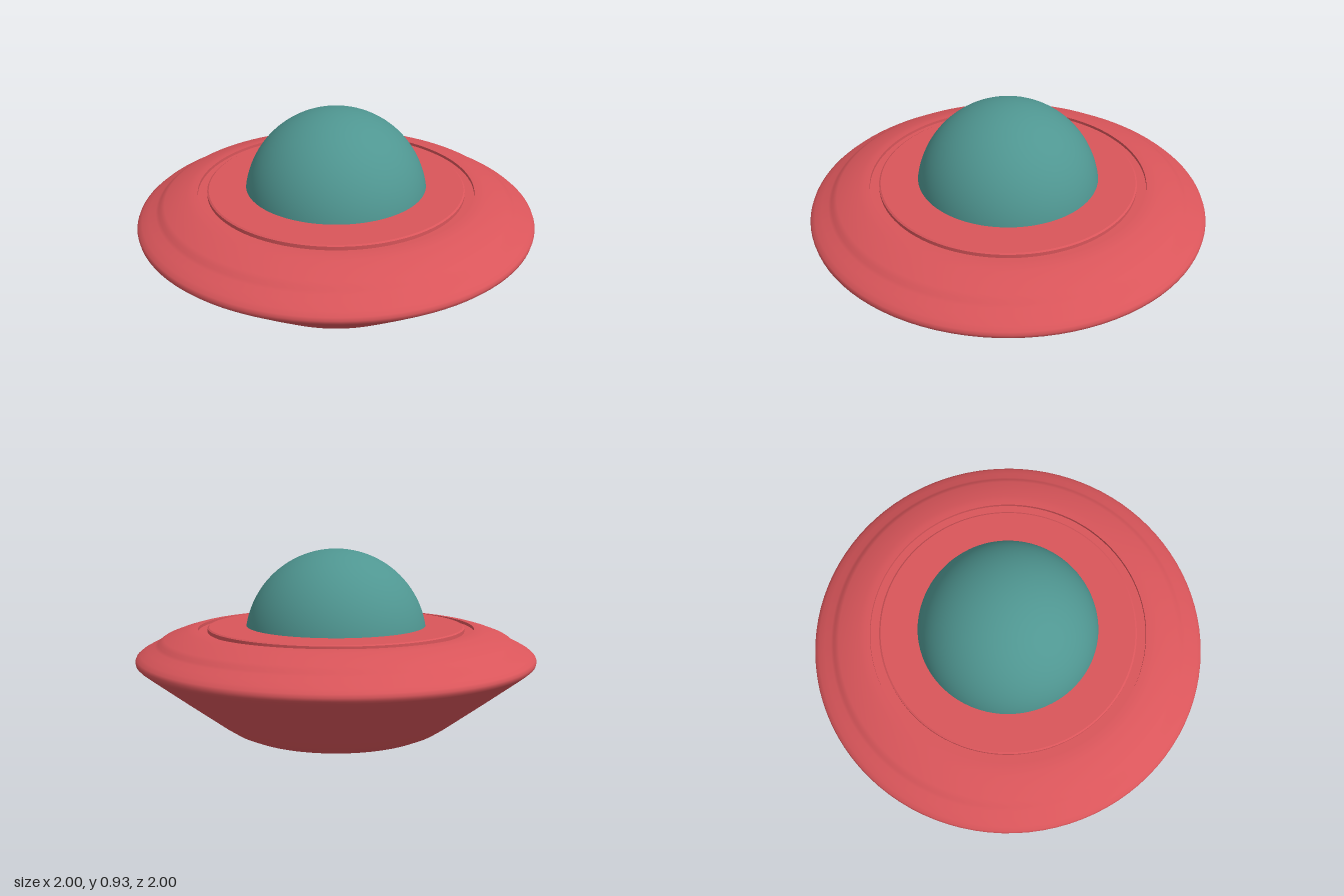
import * as THREE from 'three';

const SEGMENTS = 96;
const RED = 0xd9555a;
const TEAL = 0x4f9691;

const material = (color) => new THREE.MeshStandardMaterial({ color, side: THREE.DoubleSide });

// Revolve a profile of [radius, height] pairs around the y axis
function revolve(name, profile, mat) {
  const points = profile.map(([r, y]) => new THREE.Vector2(r, y));
  const mesh = new THREE.Mesh(new THREE.LatheGeometry(points, SEGMENTS), mat);
  mesh.name = name;
  return mesh;
}

export function createModel() {
  const model = new THREE.Group();
  model.name = 'flyingSaucer';
  const red = material(RED);

  // Hull: smooth strips that meet at sharp edges
  const hull = new THREE.Group();
  hull.name = 'hull';
  hull.add(
    revolve('hatchRim', [[0.315, 0.03], [0.315, 0.003]], red),
    revolve('underside', [
      [0.315, 0.003], [0.4, 0.005], [0.45, 0.012], [0.5, 0.023], [0.55, 0.046],
      [0.6, 0.08], [0.65, 0.118], [0.8, 0.232], [0.95, 0.348], [0.985, 0.376],
      [0.997, 0.388], [1, 0.403], [0.994, 0.417], [0.975, 0.433], [0.94, 0.452],
      [0.905, 0.468], [0.89, 0.477], [0.88, 0.489], [0.86, 0.501], [0.8, 0.523],
      [0.75, 0.537], [0.72, 0.542], [0.695, 0.543],
    ], red),
    // Shallow ring groove around the deck
    revolve('grooveOuterWall', [[0.695, 0.543], [0.695, 0.528]], red),
    revolve('grooveFloor', [[0.695, 0.528], [0.648, 0.528]], red),
    revolve('grooveInnerWall', [[0.648, 0.528], [0.648, 0.546]], red),
    revolve('deckBevel', [[0.648, 0.546], [0.64, 0.551]], red),
    revolve('deck', [[0.64, 0.551], [0, 0.551]], red),
  );
  model.add(hull);

  // Recessed hatch in the belly
  model.add(revolve('hatch', [[0, 0.03], [0.315, 0.03]], material(0xcccccc)));

  // Cockpit dome: upper part of a sphere sunk into the deck
  const dome = new THREE.Mesh(
    new THREE.SphereGeometry(0.461, SEGMENTS, 32, 0, Math.PI * 2, 0, Math.PI / 2),
    material(TEAL),
  );
  dome.name = 'dome';
  dome.position.y = 0.474;
  model.add(dome);

  return model;
}
